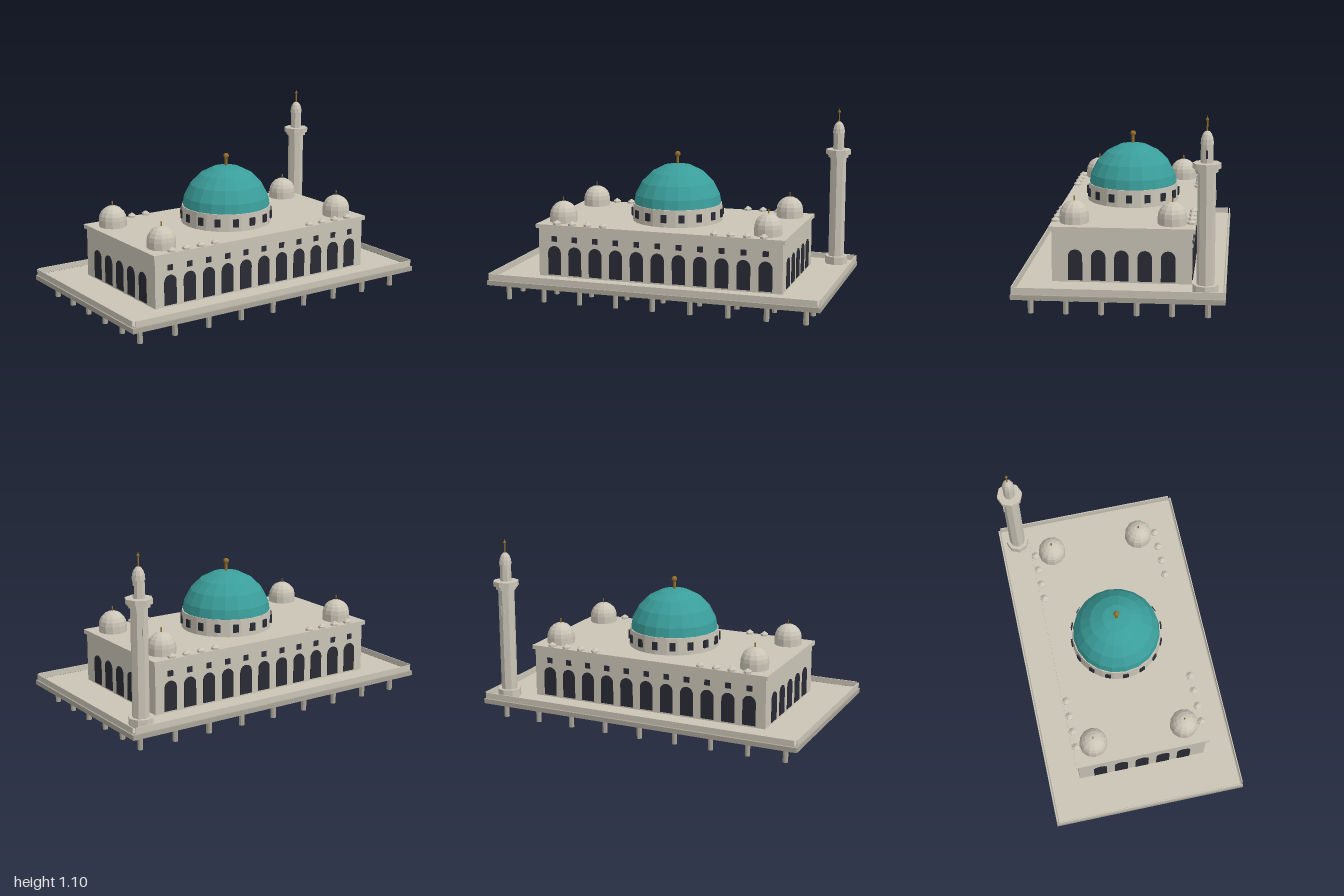
import * as THREE from 'three';

function material(name, color) {
  const m = new THREE.MeshStandardMaterial({ color });
  m.name = name;
  return m;
}

export function createModel() {
  const model = new THREE.Group();
  model.name = 'domedHall';
  const stone = material('pale stone', 0xcbc5b7);
  const concrete = material('grey concrete', 0xaaa598);
  const teal = material('teal dome', 0x3a9e9b);
  const glass = material('dark opening', 0x2a2a35);
  const brass = material('brass', 0x946f2c);

  // Faceted mesh helper
  function add(name, geo, mat, x, y, z, parent = model) {
    const flat = geo.index ? geo.toNonIndexed() : geo;
    flat.computeVertexNormals();
    const mesh = new THREE.Mesh(flat, mat);
    mesh.name = name;
    mesh.position.set(x, y, z);
    parent.add(mesh);
    return mesh;
  }
  // Box and prism given by their bottom and top heights
  const box = (name, mat, w, y0, y1, d, x = 0, z = 0, parent = model) =>
    add(name, new THREE.BoxGeometry(w, y1 - y0, d), mat, x, (y0 + y1) / 2, z, parent);
  const prism = (name, mat, r0, r1, y0, y1, sides, x = 0, z = 0, parent = model) =>
    add(name, new THREE.CylinderGeometry(r1, r0, y1 - y0, sides), mat, x, (y0 + y1) / 2, z, parent);
  const cap = (r, sides, rings) =>
    new THREE.SphereGeometry(r, sides, rings, 0, Math.PI * 2, 0, Math.PI / 2);

  // Stilts under the platform
  for (let i = -4; i <= 4; i++) {
    for (let j = -2.5; j <= 2.5; j++) {
      prism('stilt', concrete, 0.016, 0.016, 0, 0.1, 8, i * 0.2256, j * 0.1936);
    }
  }

  // Platform with low railings
  box('platformSlab', concrete, 2, 0.1, 0.128, 1.16);
  box('platformFloor', stone, 1.965, 0.128, 0.135, 1.13);
  for (const s of [-1, 1]) {
    box('longRailing', stone, 1.965, 0.133, 0.168, 0.006, 0, s * 0.575);
    box('shortRailing', stone, 0.006, 0.133, 0.168, 1.13, s * 0.994, 0);
  }

  // Main hall and its overhanging roof
  box('hallWalls', stone, 1.488, 0.135, 0.427, 0.778);
  box('roofSlab', stone, 1.514, 0.425, 0.45, 0.808);

  // Arched openings, drawn from their sill upward
  const arch = new THREE.Shape();
  arch.moveTo(-0.04, 0);
  arch.lineTo(0.04, 0);
  arch.lineTo(0.04, 0.135);
  arch.absarc(0, 0.135, 0.04, 0, Math.PI, false);
  const archGeo = new THREE.ExtrudeGeometry(arch, { depth: 0.008, bevelEnabled: false, curveSegments: 5 });
  archGeo.translate(0, 0, -0.004);
  function facade(name, count, distance, angle, upperWindows) {
    const side = new THREE.Group();
    side.name = name;
    side.rotation.y = angle;
    for (let i = 0; i < count; i++) {
      const x = (i - (count - 1) / 2) * 0.129;
      add('archedOpening', archGeo, glass, x, 0.145, distance, side);
      if (upperWindows) box('upperWindow', glass, 0.034, 0.347, 0.38, 0.008, x, distance, side);
    }
    model.add(side);
  }
  facade('frontOpenings', 11, 0.389, 0, true);
  facade('backOpenings', 11, 0.389, Math.PI, true);
  facade('leftOpenings', 5, 0.744, Math.PI / 2, false);
  facade('rightOpenings', 5, 0.744, -Math.PI / 2, false);

  // Main dome on its windowed drum
  prism('mainDrum', stone, 0.272, 0.268, 0.45, 0.553, 24);
  for (let i = 0; i < 16; i++) {
    const a = i * Math.PI / 8;
    const w = box('drumWindow', glass, 0.034, 0.478, 0.525, 0.009, Math.sin(a) * 0.274, Math.cos(a) * 0.274);
    w.rotation.y = a;
  }
  add('mainDome', cap(0.267, 20, 5), teal, 0, 0.525, 0);
  prism('mainFinialPost', brass, 0.009, 0.009, 0.785, 0.84, 8);
  add('mainFinialBall', new THREE.SphereGeometry(0.017, 10, 8), brass, 0, 0.848, 0);

  // Corner domes and the rows of small roof caps
  for (const sx of [-1, 1]) {
    for (const sz of [-1, 1]) {
      const x = sx * 0.63, z = sz * 0.275;
      prism('cornerDrum', stone, 0.083, 0.083, 0.45, 0.492, 12, x, z);
      add('cornerDome', cap(0.083, 12, 5), stone, x, 0.491, z);
      prism('cornerFinial', brass, 0.004, 0.004, 0.57, 0.6, 6, x, z);
      for (let i = 0; i < 4; i++) {
        const cx = sx * (0.63 - i * 0.097);
        prism('roofCapBase', stone, 0.023, 0.023, 0.45, 0.462, 6, cx, sz * 0.382);
        prism('roofCap', stone, 0.025, 0.004, 0.462, 0.477, 6, cx, sz * 0.382);
      }
    }
  }

  // Slender tower at the back corner
  const tower = new THREE.Group();
  tower.name = 'tower';
  tower.position.set(0.886, 0, -0.469);
  model.add(tower);
  prism('towerBase', stone, 0.07, 0.07, 0.135, 0.183, 8, 0, 0, tower);
  prism('towerShaft', stone, 0.049, 0.049, 0.183, 0.8, 8, 0, 0, tower);
  prism('balconyFloor', stone, 0.062, 0.062, 0.8, 0.822, 8, 0, 0, tower);
  prism('balconyParapet', stone, 0.077, 0.077, 0.82, 0.85, 8, 0, 0, tower);
  prism('lantern', stone, 0.034, 0.034, 0.85, 0.955, 8, 0, 0, tower);
  const towerCap = cap(0.037, 10, 4);
  towerCap.scale(1, 1.95, 1);
  add('towerCap', towerCap, stone, 0, 0.95, 0, tower);
  box('lanternSlit', glass, 0.008, 0.875, 0.92, 0.01, 0.032, 0, tower);
  box('shaftPanel', stone, 0.02, 0.65, 0.7, 0.012, 0, -0.046, tower);
  prism('towerFinialPost', brass, 0.004, 0.004, 1.01, 1.08, 6, 0, 0, tower);
  add('towerFinialBall', new THREE.SphereGeometry(0.009, 8, 6), brass, 0, 1.08, 0, tower);
  prism('towerFinialTip', brass, 0.004, 0.001, 1.085, 1.1, 6, 0, 0, tower);

  return model;
}
